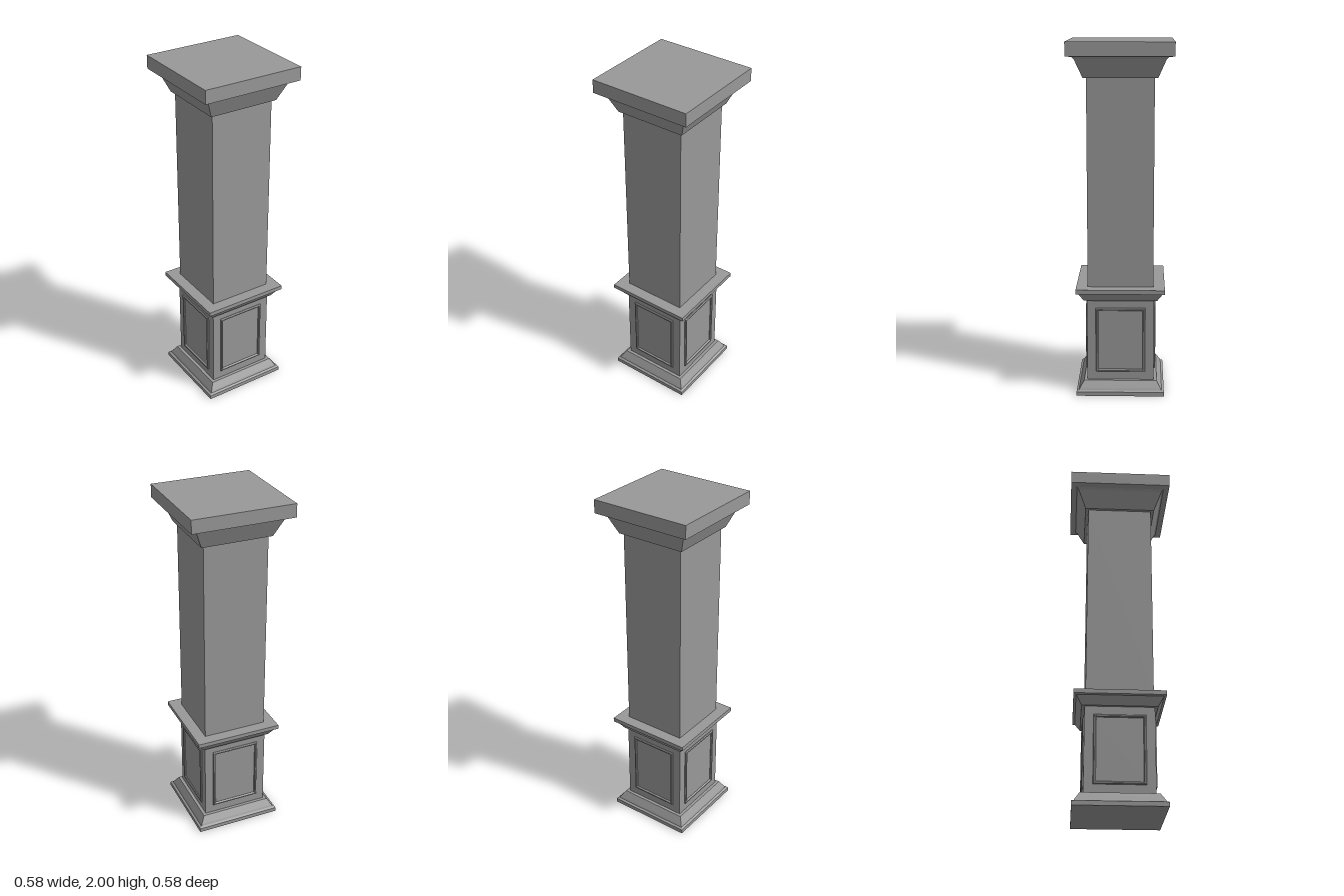
import * as THREE from 'three';

const stone = new THREE.MeshStandardMaterial({ color: 0x999999, flatShading: true });
stone.name = 'grey stone';

// Square moulding: profile of [half width, height] points, listed from bottom to top
function squareMoulding(name, profile) {
  const points = profile.map(([half, y]) => new THREE.Vector2(half * Math.SQRT2, y));
  const mesh = new THREE.Mesh(new THREE.LatheGeometry(points, 4, Math.PI / 4), stone);
  mesh.name = name;
  return mesh;
}

function rectangle(target, halfW, y0, y1) {
  target.moveTo(-halfW, y0);
  target.lineTo(halfW, y0);
  target.lineTo(halfW, y1);
  target.lineTo(-halfW, y1);
  target.closePath();
  return target;
}

export function createModel() {
  const column = new THREE.Group();
  column.name = 'column';

  column.add(
    // Plinth foot with a sloped moulding
    squareMoulding('base', [
      [0, 0], [0.25, 0], [0.25, 0.024], [0.237, 0.03], [0.232, 0.04],
      [0.208, 0.079], [0.19, 0.079],
    ]),
    squareMoulding('pedestal', [[0.19, 0.079], [0.19, 0.558]]),
    // Pedestal cornice
    squareMoulding('pedestalCap', [
      [0.19, 0.558], [0.206, 0.558], [0.23, 0.596], [0.236, 0.606],
      [0.25, 0.61], [0.25, 0.634], [0.185, 0.634],
    ]),
    squareMoulding('shaft', [[0.185, 0.634], [0.185, 1.805]]),
    // Flared capital under a flat slab
    squareMoulding('capital', [
      [0.185, 1.805], [0.202, 1.805], [0.246, 1.908], [0.256, 1.919],
      [0.29, 1.925], [0.29, 2], [0, 2],
    ]),
  );

  // Raised panel frame on each side of the pedestal
  const outline = rectangle(new THREE.Shape(), 0.141, 0.128, 0.511);
  outline.holes.push(rectangle(new THREE.Path(), 0.126, 0.143, 0.496));
  const frameGeometry = new THREE.ExtrudeGeometry(outline, {
    depth: 0.006, bevelEnabled: true, bevelSegments: 1,
    bevelThickness: 0.005, bevelSize: 0.004, bevelOffset: -0.004,
  });
  frameGeometry.translate(0, 0, 0.189);
  for (let i = 0; i < 4; i++) {
    const frame = new THREE.Mesh(frameGeometry, stone);
    frame.name = 'panelFrame' + (i + 1);
    frame.rotation.y = i * Math.PI / 2;
    column.add(frame);
  }
  return column;
}
